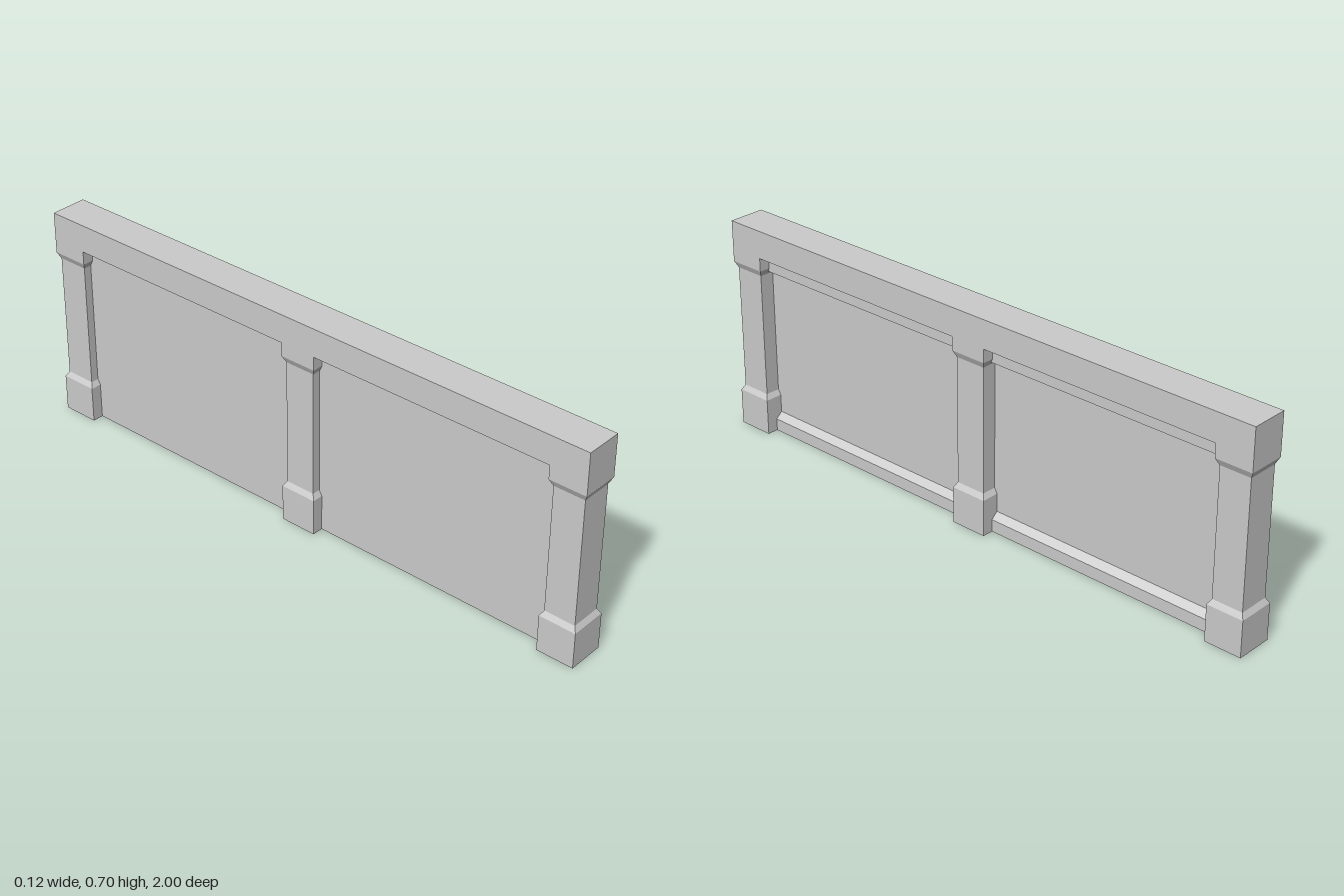
import * as THREE from 'three';

const material = new THREE.MeshStandardMaterial({ color: 0xcccccc, flatShading: true });

// Square post: each profile pair is [half width, height], bottom to top
function createPost() {
  const profile = [
    [0, 0], [0.061, 0], [0.061, 0.119], [0.051, 0.136],
    [0.051, 0.547], [0.061, 0.568], [0.061, 0.612],
  ].map(([half, y]) => new THREE.Vector2(half * Math.SQRT2, y));
  return new THREE.Mesh(new THREE.LatheGeometry(profile, 4, Math.PI / 4), material);
}

export function createModel() {
  const model = new THREE.Group();
  model.name = 'panelledWall';
  const postZ = 0.939;

  // Posts at both ends and in the middle
  [['frontPost', postZ], ['middlePost', 0], ['backPost', -postZ]].forEach(([name, z]) => {
    const post = createPost();
    post.name = name;
    post.position.z = z;
    model.add(post);
  });

  // Top beam resting on the post caps
  const beam = new THREE.Mesh(new THREE.BoxGeometry(0.122, 0.092, 2), material);
  beam.name = 'topBeam';
  beam.position.y = 0.658;
  model.add(beam);

  // Panel section: skirting and upper moulding on the +x side, flat on the other
  const section = new THREE.Shape([
    [-0.024, 0], [0.024, 0], [0.024, 0.04], [0.002, 0.059],
    [0.002, 0.543], [0.024, 0.556], [0.024, 0.588], [0.061, 0.612],
    [-0.061, 0.612], [-0.024, 0.588],
  ].map(([x, y]) => new THREE.Vector2(x, y)));

  // One panel per bay, running between post centres
  [['frontPanel', 0], ['backPanel', -postZ]].forEach(([name, z]) => {
    const geometry = new THREE.ExtrudeGeometry(section, { depth: postZ, bevelEnabled: false });
    const panel = new THREE.Mesh(geometry, material);
    panel.name = name;
    panel.position.z = z;
    model.add(panel);
  });

  return model;
}
